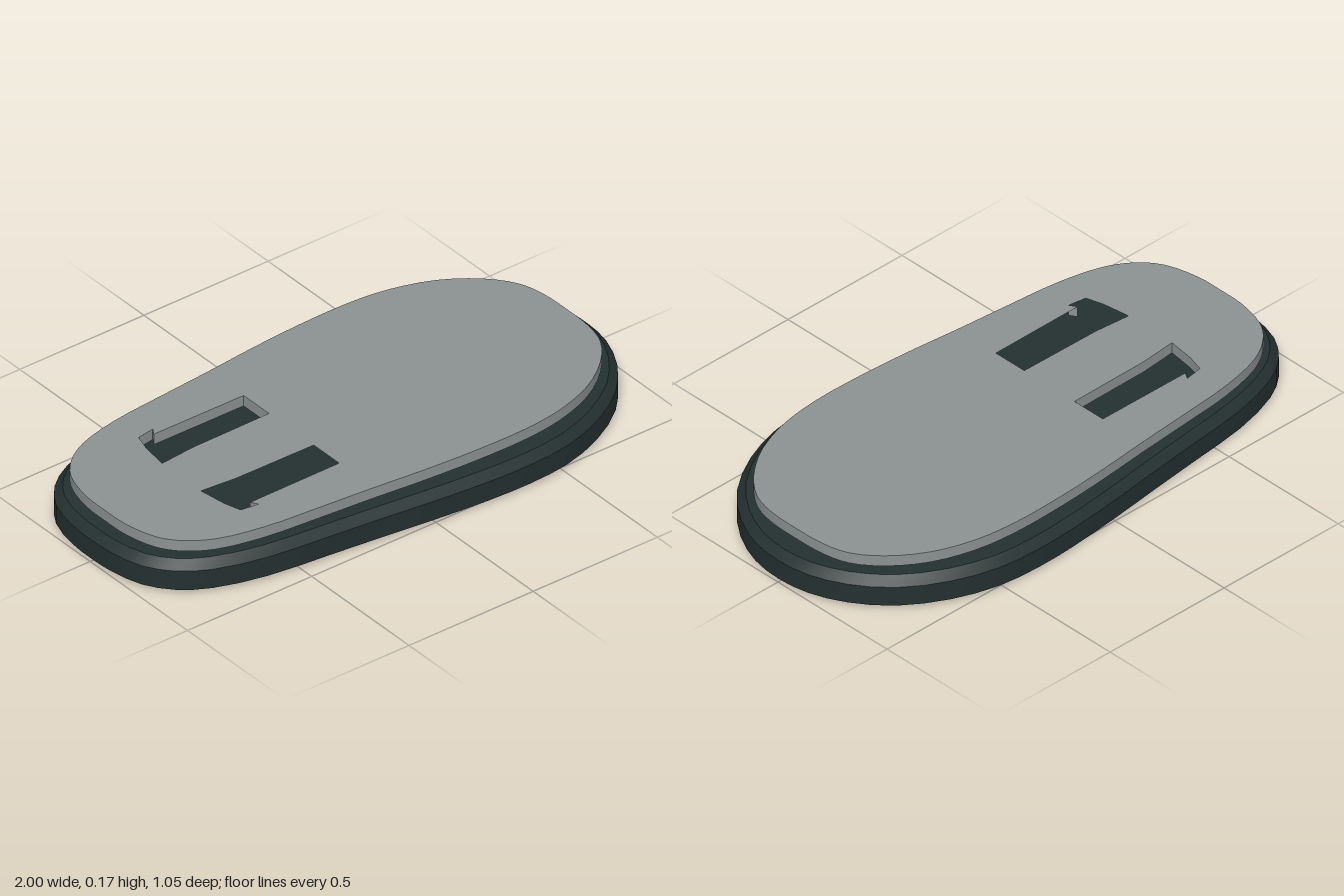
import * as THREE from 'three';
import { toCreasedNormals } from 'three/addons/utils/BufferGeometryUtils.js';

const V2 = (x, y) => new THREE.Vector2(x, y);

// Closed smooth outline, mirrored across the long axis from one half [x, z]
function outline(half, count) {
  const mirrored = half.slice(1, -1).reverse().map(([x, z]) => [x, -z]);
  const pts = [...half, ...mirrored].map(([x, z]) => new THREE.Vector3(x, 0, z));
  const curve = new THREE.CatmullRomCurve3(pts, true, 'centripetal');
  return curve.getPoints(count).slice(0, -1).map((p) => V2(p.x, p.z));
}

// Shift an outline inwards by a distance
function inset(pts, d) {
  const n = pts.length;
  return pts.map((p, i) => {
    const t = pts[(i + 1) % n].clone().sub(pts[(i + n - 1) % n]).normalize();
    return V2(p.x + t.y * d, p.y - t.x * d);
  });
}

// Closed solid from stacked rings of [inset, height]
function loft(pts, levels) {
  const n = pts.length, pos = [], idx = [];
  for (const [d, y] of levels) for (const p of inset(pts, d)) pos.push(p.x, y, p.y);
  const bottom = n * levels.length, top = bottom + 1, last = n * (levels.length - 1);
  pos.push(0, levels[0][1], 0, 0, levels[levels.length - 1][1], 0);
  for (let i = 0; i < n; i++) {
    const j = (i + 1) % n;
    for (let k = 0; k < last; k += n) {
      idx.push(k + i, k + j, k + n + j, k + i, k + n + j, k + n + i);
    }
    idx.push(bottom, j, i, top, last + i, last + j);
  }
  const g = new THREE.BufferGeometry();
  g.setAttribute('position', new THREE.Float32BufferAttribute(pos, 3));
  g.setIndex(idx);
  return toCreasedNormals(g, 0.4);
}

export function createModel() {
  const group = new THREE.Group();
  group.name = 'roundedPad';
  const darkRubber = new THREE.MeshStandardMaterial({ color: 0x243030 });
  darkRubber.name = 'darkRubber';
  const greyPlate = new THREE.MeshStandardMaterial({ color: 0x8c9292 });
  greyPlate.name = 'greyPlate';

  // Chamfered base
  const baseHalf = [
    [-1, 0], [-0.995, 0.1], [-0.965, 0.22], [-0.9, 0.31], [-0.8, 0.375], [-0.62, 0.428],
    [-0.4, 0.455], [-0.2, 0.478], [0, 0.503], [0.2, 0.522], [0.36, 0.527], [0.52, 0.513],
    [0.68, 0.46], [0.83, 0.365], [0.93, 0.245], [0.985, 0.12], [1, 0],
  ];
  const base = new THREE.Mesh(
    loft(outline(baseHalf, 64), [[0.025, 0], [0, 0.014], [0, 0.085], [0.028, 0.115]]),
    darkRubber,
  );
  base.name = 'base';
  group.add(base);

  // Raised top plate, standing clear of the base
  const plateHalf = [
    [-0.94, 0], [-0.937, 0.1], [-0.905, 0.22], [-0.85, 0.29], [-0.76, 0.345], [-0.6, 0.385],
    [-0.4, 0.405], [-0.2, 0.422], [0, 0.442], [0.2, 0.455], [0.4, 0.456], [0.55, 0.437],
    [0.7, 0.385], [0.82, 0.3], [0.89, 0.21], [0.915, 0.12], [0.92, 0],
  ];
  const shape = new THREE.Shape(outline(plateHalf, 96));

  // Two slots, each flared at its outer end
  const slot = [
    [-0.19, 0.115], [-0.19, 0.245], [-0.55, 0.247], [-0.535, 0.272],
    [-0.6, 0.262], [-0.618, 0.2], [-0.632, 0.1], [-0.5, 0.112],
  ];
  for (const s of [1, -1]) {
    shape.holes.push(new THREE.Path(slot.map(([x, z]) => V2(x, s * z))));
  }
  const plateGeometry = new THREE.ExtrudeGeometry(shape, { depth: 0.04, bevelEnabled: false });
  plateGeometry.rotateX(-Math.PI / 2);
  const plate = new THREE.Mesh(toCreasedNormals(plateGeometry, 0.5), greyPlate);
  plate.name = 'topPlate';
  plate.position.y = 0.13;
  group.add(plate);

  return group;
}
